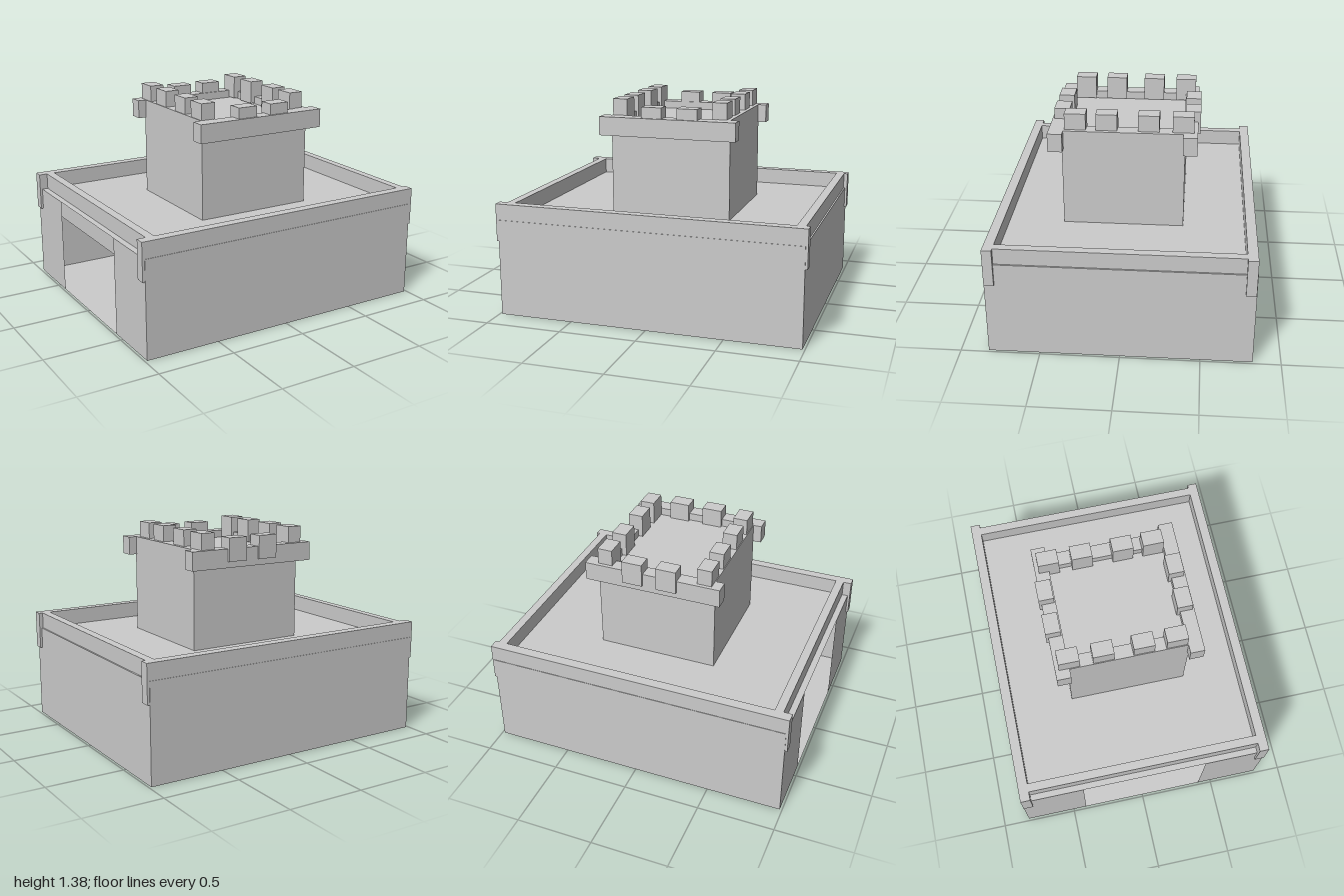
import * as THREE from 'three';

export function createModel() {
  const model = new THREE.Group();
  const solid = new THREE.MeshStandardMaterial({ color: 0xcccccc, flatShading: true });
  const sheet = new THREE.MeshStandardMaterial({ color: 0xcccccc, flatShading: true, side: THREE.DoubleSide });

  // Box given by its [min, max] range on each axis
  function block(name, [x0, x1], [y0, y1], [z0, z1], parent = model) {
    const mesh = new THREE.Mesh(new THREE.BoxGeometry(x1 - x0, y1 - y0, z1 - z0), solid);
    mesh.position.set((x0 + x1) / 2, (y0 + y1) / 2, (z0 + z1) / 2);
    mesh.name = name;
    parent.add(mesh);
  }

  // Thin panel, w by h, turned and moved into place
  function panel(name, w, h, pos, rot, parent) {
    const mesh = new THREE.Mesh(new THREE.PlaneGeometry(w, h), sheet);
    mesh.position.set(...pos);
    mesh.rotation.set(...rot);
    mesh.name = name;
    parent.add(mesh);
  }

  // Hollow hall with a wide, full-height doorway on the -x side
  const X = 0.985, Z = 0.825, H = 0.63, Q = Math.PI / 2;
  const hall = new THREE.Group();
  hall.name = 'hall';
  panel('floor', 2 * X, 2 * Z, [0, 0, 0], [-Q, 0, 0], hall);
  panel('hallRoof', 2 * X, 2 * Z, [0, H, 0], [-Q, 0, 0], hall);
  panel('frontWall', 2 * X, H, [0, H / 2, Z], [0, 0, 0], hall);
  panel('backWall', 2 * X, H, [0, H / 2, -Z], [0, 2 * Q, 0], hall);
  panel('leftWall', 2 * Z, H, [X, H / 2, 0], [0, Q, 0], hall);
  for (const [z0, z1] of [[-Z, -0.41], [0.41, Z]])
    panel('doorwayWall', z1 - z0, H, [-X, H / 2, (z0 + z1) / 2], [0, -Q, 0], hall);
  model.add(hall);

  // Parapet beams around the hall roof
  block('frontBeam', [-1, 1], [0.49, 0.735], [0.76, 0.822]);
  block('backBeam', [-1, 1], [0.49, 0.735], [-0.822, -0.758]);
  block('rightRail', [-0.945, -0.89], [0.49, 0.735], [-0.758, 0.76]);
  block('leftRail', [0.92, 0.975], [0.49, 0.735], [-0.758, 0.76]);

  // Tower with raised rim
  const tower = new THREE.Group();
  tower.name = 'tower';
  block('towerBody', [-0.365, 0.42], [H, 1.22], [-0.365, 0.405], tower);
  block('towerRightRim', [-0.365, -0.28], [1.22, 1.27], [-0.365, 0.405], tower);
  block('towerLeftRim', [0.33, 0.42], [1.22, 1.27], [-0.365, 0.405], tower);
  block('towerFrontBeam', [-0.42, 0.475], [1.15, 1.27], [0.395, 0.487], tower);
  block('towerBackBeam', [-0.42, 0.475], [1.15, 1.27], [-0.442, -0.352], tower);

  // Battlements: four on each side, two on the front and back
  for (const [x, zs] of [[[-0.36, -0.265], [-0.418, -0.203, 0.05, 0.258]],
                         [[0.3, 0.395], [-0.418, -0.203, 0.06, 0.256]]])
    for (const z of zs) block('sideMerlon', x, [1.225, 1.375], [z, z + 0.133], tower);
  for (const [z, xs] of [[[0.375, 0.474], [-0.14, 0.093]], [[-0.457, -0.36], [-0.14, 0.085]]])
    for (const x of xs) block('endMerlon', [x, x + 0.133], [1.19, 1.34], z, tower);
  model.add(tower);

  return model;
}
